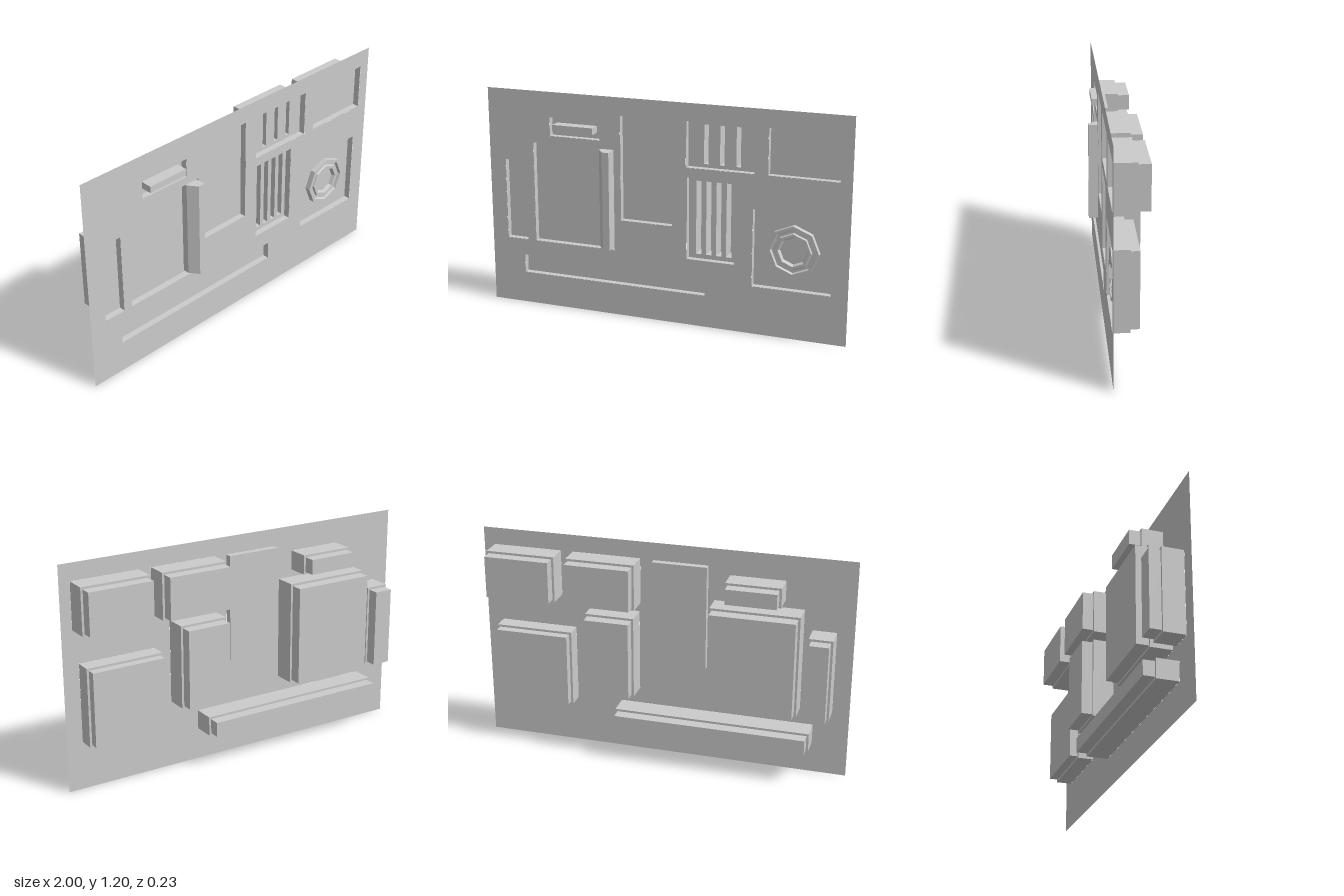
import * as THREE from 'three';

const FRONT = 0.065, FLOOR = 0.03;
const mat = new THREE.MeshStandardMaterial({ color: 0xcccccc, side: THREE.DoubleSide, flatShading: true });

// x0, x1, y0, y1 of each recess; mid and back are the depths of the two housing steps
const bays = [
  { name: 'narrowBay', r: [-0.91, -0.785, 0.365, 0.812] },
  { name: 'doorBay', r: [-0.74, -0.27, 0.365, 0.92], back: -0.115 },
  { name: 'barBay', r: [-0.64, -0.35, 0.96, 1.065] },
  { name: 'shallowBay', r: [-0.235, 0.058, 0.535, 1.105], plain: true },
  { name: 'slotBay', r: [0.13, 0.5, 0.86, 1.108],
    slots: [0.229, 0.315, 0.402].map(x => [x - 0.012, x + 0.012, 0.88, 1.088]) },
  { name: 'ventBay', r: [0.135, 0.4, 0.365, 0.812],
    slots: [0.192, 0.247, 0.302, 0.357].map(x => [x - 0.015, x + 0.015, 0.39, 0.788]) },
  { name: 'cornerBay', r: [0.567, 0.94, 0.86, 1.108] },
  { name: 'longBay', r: [-0.812, 0.24, 0.173, 0.277] },
  { name: 'dialBay', r: [0.492, 0.913, 0.26, 0.68], mid: -0.02, back: -0.065 },
];

function rect([x0, x1, y0, y1], Type = THREE.Shape) {
  return new Type([[x0, y0], [x1, y0], [x1, y1], [x0, y1]].map(p => new THREE.Vector2(...p)));
}

function inset([x0, x1, y0, y1], d) {
  return [x0 + d, x1 - d, y0 + d, y1 - d];
}

function add(parent, name, geometry) {
  const mesh = new THREE.Mesh(geometry, mat);
  mesh.name = name;
  parent.add(mesh);
  return mesh;
}

// Prism with the given outline and holes between two depths
function slab(parent, name, r, holes, zBack, zFront) {
  const shape = rect(r);
  shape.holes = holes.map(h => rect(h, THREE.Path));
  const geo = new THREE.ExtrudeGeometry(shape, { depth: zFront - zBack, bevelEnabled: false });
  geo.translate(0, 0, zBack);
  return add(parent, name, geo);
}

export function createModel() {
  const model = new THREE.Group();
  model.name = 'wallPanel';

  // Thin face sheet with an opening for each recess
  const sheet = rect([-1, 1, 0, 1.2]);
  sheet.holes = bays.map(b => rect(b.r, THREE.Path));
  add(model, 'faceSheet', new THREE.ShapeGeometry(sheet)).position.z = FRONT;

  // Recess walls, floor and stepped housing behind
  for (const { name, r, slots = [], plain, mid = -0.05, back = -0.11 } of bays) {
    const bay = new THREE.Group();
    bay.name = name;
    model.add(bay);
    slab(bay, 'recessWall', r, [inset(r, 0.002)], FLOOR, FRONT - 0.0005);
    if (plain) {
      add(bay, 'recessFloor', new THREE.ShapeGeometry(rect(r))).position.z = FLOOR;
    } else {
      slab(bay, 'housing', r, slots, mid, FLOOR);
      slab(bay, 'housingStep', inset(r, 0.012), [], back, mid);
    }
  }

  // Wedge-shaped door handle, a plan outline extruded upward
  const plan = new THREE.Shape([[-0.355, -FLOOR], [-0.355, -FRONT], [-0.318, -0.115], [-0.28, -0.115], [-0.28, -FLOOR]]
    .map(p => new THREE.Vector2(...p)));
  const handle = new THREE.ExtrudeGeometry(plan, { depth: 0.535, bevelEnabled: false });
  handle.rotateX(-Math.PI / 2);
  // after the turn the plan's -y points to +z
  add(model, 'doorHandle', handle).position.y = 0.377;

  // Grip bar
  slab(model, 'gripBar', [-0.61, -0.38, 0.994, 1.03], [], FLOOR, 0.092);

  // Eight-sided stepped dial
  const profile = [[0.138, 0.03], [0.138, 0.06], [0.12, 0.06], [0.115, 0.045], [0.1, 0.045],
    [0.095, 0.055], [0.08, 0.055], [0.072, 0.035], [0, 0.035]].map(p => new THREE.Vector2(...p));
  const dial = new THREE.LatheGeometry(profile, 8);
  dial.rotateX(Math.PI / 2);
  add(model, 'dial', dial).position.set(0.705, 0.47, 0);

  return model;
}
